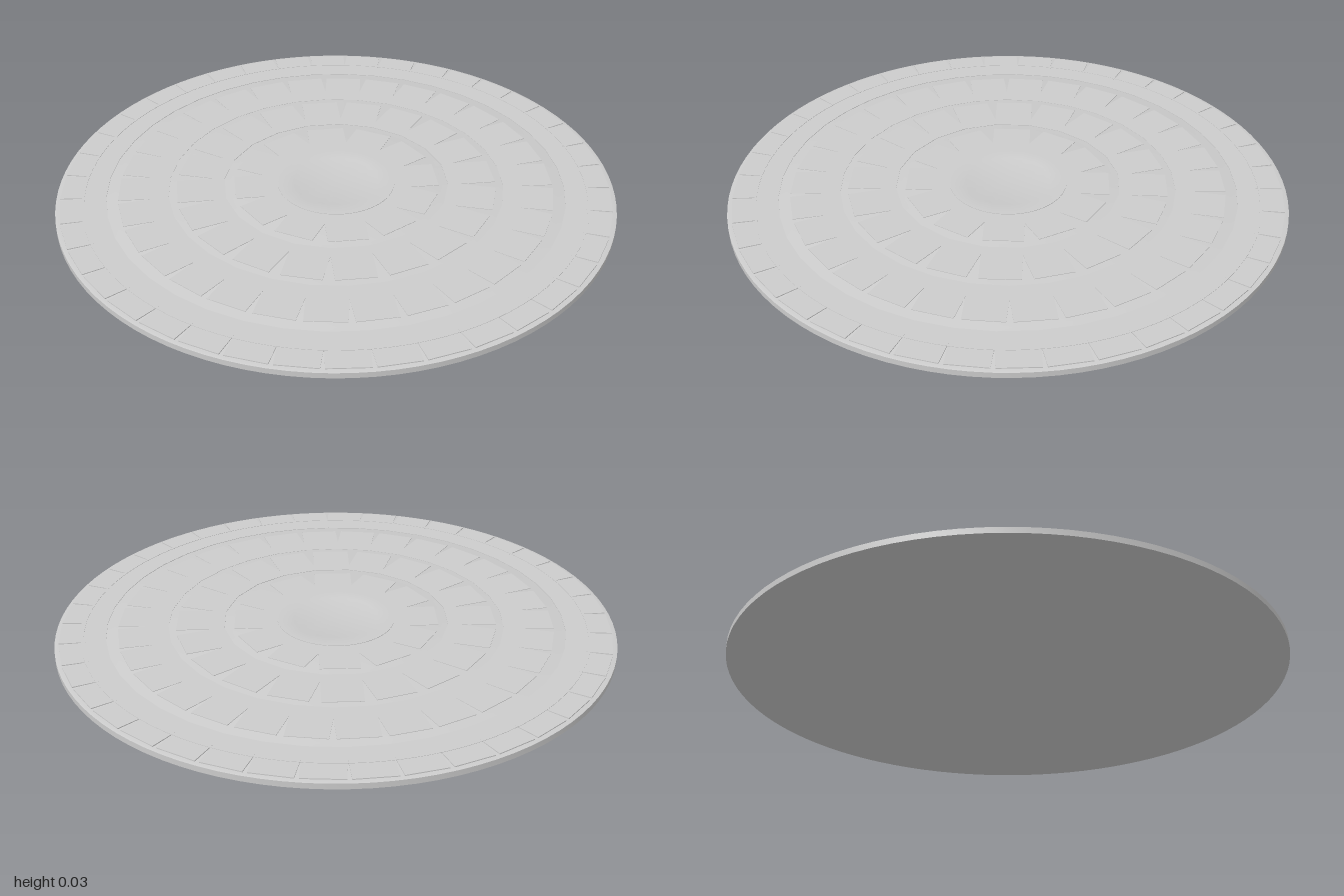
import * as THREE from 'three';
import { toCreasedNormals } from 'three/addons/utils/BufferGeometryUtils.js';

const material = new THREE.MeshStandardMaterial({ color: 0xcccccc });

function lathe(name, profile, segments = 96) {
  const points = profile.map(([r, y]) => new THREE.Vector2(r, y));
  const geometry = toCreasedNormals(new THREE.LatheGeometry(points, segments), 0.4);
  const mesh = new THREE.Mesh(geometry, material);
  mesh.name = name;
  return mesh;
}

// Ring of straight slabs: they meet near the inside and leave V-shaped gaps outside
function slabRing(name, count, inner, outer, top) {
  const ring = new THREE.Group();
  ring.name = name;
  const height = 0.008;
  const geometry = new THREE.BoxGeometry(0.14, height, outer - inner);
  geometry.translate(0, top - height / 2, (inner + outer) / 2);
  for (let i = 0; i < count; i++) {
    const slab = new THREE.Mesh(geometry, material);
    slab.name = 'slab';
    slab.rotation.y = ((i + 0.5) / count) * Math.PI * 2;
    ring.add(slab);
  }
  return ring;
}

export function createModel() {
  const model = new THREE.Group();
  model.name = 'pavedDisc';

  // Flat-bottomed plate, stepping up gently toward the middle
  model.add(lathe('basePlate', [
    [0, 0], [1, 0], [1, 0.02], [0.99, 0.022],
    [0.8, 0.024], [0.795, 0.0255],
    [0.585, 0.0265], [0.58, 0.0275],
    [0.385, 0.028], [0.38, 0.029], [0, 0.029],
  ]));

  // Four concentric rings of paving slabs
  model.add(slabRing('outerSlabs', 40, 0.82, 0.983, 0.0255));
  model.add(slabRing('secondSlabs', 30, 0.6, 0.778, 0.0275));
  model.add(slabRing('thirdSlabs', 20, 0.4, 0.572, 0.0295));
  model.add(slabRing('innerSlabs', 12, 0.19, 0.365, 0.0308));

  // Thin kerb between the outer two rings
  model.add(lathe('kerbRing', [
    [0.908, 0.022], [0.908, 0.0268], [0.9, 0.0268], [0.9, 0.022],
  ]));

  // Round centre with a raised rim
  model.add(lathe('centreStone', [
    [0.212, 0.025], [0.212, 0.0325], [0.158, 0.0325], [0.154, 0.0315], [0, 0.0315],
  ], 64));

  return model;
}
